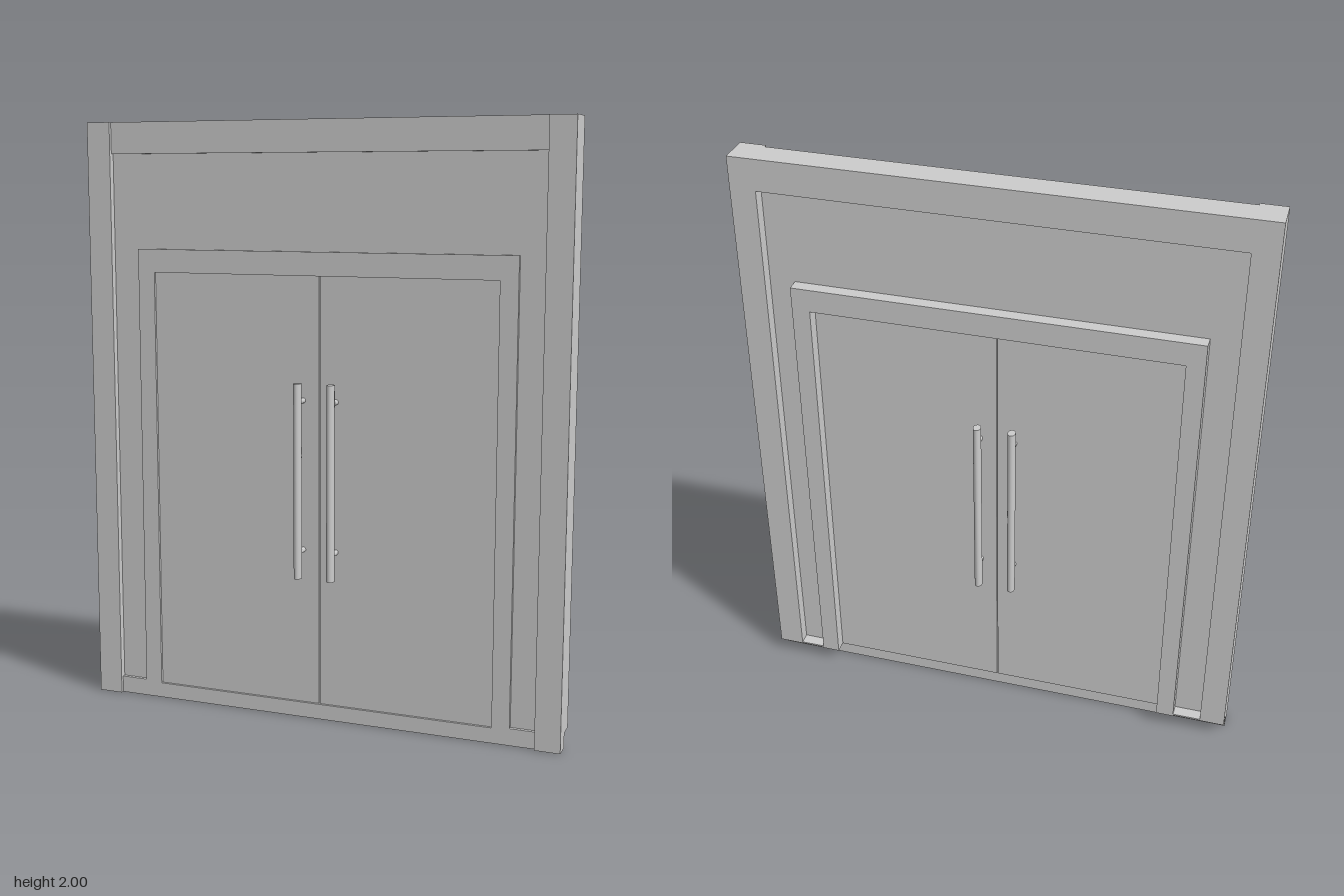
import * as THREE from 'three';

const material = new THREE.MeshStandardMaterial({ color: 0xcccccc });

function add(group, name, geometry) {
  const mesh = new THREE.Mesh(geometry, material);
  mesh.name = name;
  group.add(mesh);
  return mesh;
}

// Box given by its limits on each axis
function block(group, name, [x0, x1], [y0, y1], [z0, z1]) {
  const mesh = add(group, name, new THREE.BoxGeometry(x1 - x0, y1 - y0, z1 - z0));
  mesh.position.set((x0 + x1) / 2, (y0 + y1) / 2, (z0 + z1) / 2);
  return mesh;
}

// Three-sided frame, open at the bottom, extruded between two depths
function arch(group, name, outer, inner, bottom, [z0, z1]) {
  const [ox0, ox1, oTop] = outer;
  const [ix0, ix1, iTop] = inner;
  const shape = new THREE.Shape([
    [ox0, bottom], [ix0, bottom], [ix0, iTop], [ix1, iTop],
    [ix1, bottom], [ox1, bottom], [ox1, oTop], [ox0, oTop],
  ].map(([x, y]) => new THREE.Vector2(x, y)));
  const geometry = new THREE.ExtrudeGeometry(shape, { depth: z1 - z0, bevelEnabled: false });
  geometry.translate(0, 0, z0);
  return add(group, name, geometry);
}

// Oval pull bar on two standoffs; side is +1 for front, -1 for back
function pullHandle(x, side, doorFace) {
  const handle = new THREE.Group();
  handle.name = side > 0 ? 'frontHandle' : 'backHandle';
  const barZ = side * 0.065;
  const bar = add(handle, 'handleBar', new THREE.CylinderGeometry(0.013, 0.013, 0.655, 24));
  bar.scale.z = 1.35;
  bar.position.set(x, 0.825, barZ);
  const length = Math.abs(barZ - doorFace);
  for (const y of [0.585, 1.09]) {
    const post = add(handle, 'handleStandoff', new THREE.CylinderGeometry(0.009, 0.009, length, 16));
    post.rotation.x = Math.PI / 2;
    post.position.set(x, y, (barZ + doorFace) / 2);
  }
  return handle;
}

export function createModel() {
  const model = new THREE.Group();
  model.name = 'doubleDoor';
  const W = 0.835, IN = 0.75, SILL = 0.052;
  const doorFront = 0.016, doorBack = -0.03;

  // Outer frame: deep surround, with posts proud of the header at the front
  arch(model, 'outerFrame', [-W, W, 2], [-IN, IN, 1.895], SILL, [-0.07, 0.025]);
  for (const [x0, x1] of [[-W, -IN], [IN, W]]) {
    block(model, 'postFace', [x0, x1], [0, 2], [0.025, 0.036]);
  }

  // Threshold across the full width, set forward of the frame's back
  block(model, 'threshold', [-W, W], [0, SILL], [-0.02, 0.025]);

  // Thin sills between the posts and the inner frame
  for (const [x0, x1] of [[-IN, -0.655], [0.665, IN]]) {
    block(model, 'sideSill', [x0, x1], [SILL, 0.058], [-0.07, 0.025]);
  }

  // Recessed wall panel around the doorway
  arch(model, 'surroundPanel', [-IN, IN, 1.895], [-0.655, 0.665, 1.578], 0.058, [doorBack, 0.013]);

  // Inner door frame
  arch(model, 'innerFrame', [-0.655, 0.665, 1.578], [-0.595, 0.605, 1.5], SILL, [-0.073, 0.025]);

  // Two door leaves with a narrow gap between them
  block(model, 'rightDoor', [-0.595, 0.001], [SILL, 1.5], [doorBack, doorFront]);
  block(model, 'leftDoor', [0.004, 0.605], [SILL, 1.5], [doorBack, doorFront]);

  // Pull handles on both faces
  for (const x of [-0.056, 0.06]) {
    model.add(pullHandle(x, 1, doorFront), pullHandle(x, -1, doorBack));
  }
  return model;
}
